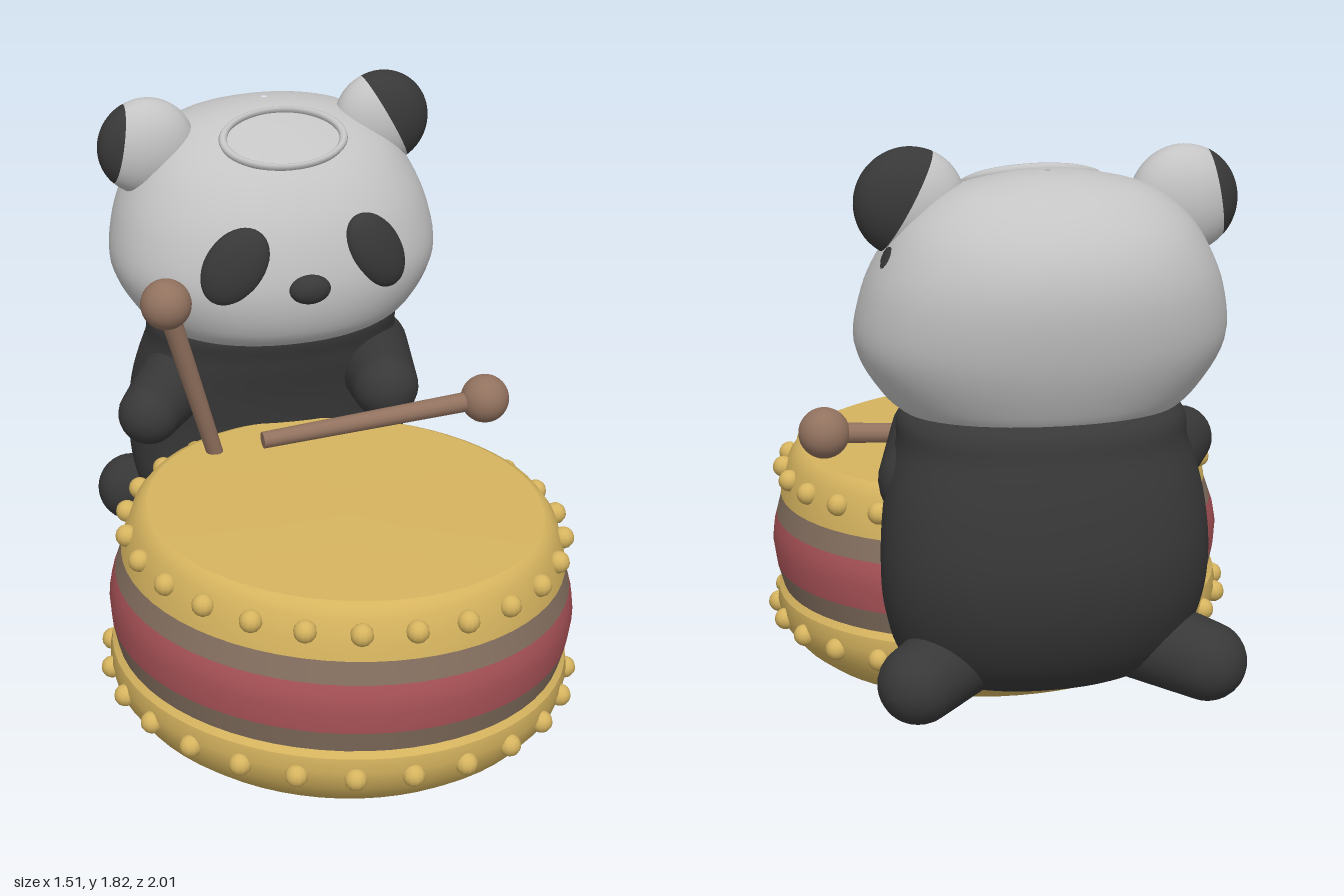
import * as THREE from 'three';

const mat = (name, color, side = THREE.FrontSide) => {
  const m = new THREE.MeshStandardMaterial({ color, side });
  m.name = name;
  return m;
};
const gold = mat('gold', 0xd6b45f);
const red = mat('red', 0xaa5358);
const brown = mat('band brown', 0x857060);
const wood = mat('stick wood', 0x92725f);
const black = mat('black fur', 0x383838);
const white = mat('white fur', 0xc4c4c4);

function add(parent, name, geometry, material, pos = [0, 0, 0], rot = [0, 0, 0], scale = [1, 1, 1]) {
  const m = new THREE.Mesh(geometry, material);
  m.name = name;
  m.position.set(...pos);
  m.rotation.set(...rot);
  m.scale.set(...scale);
  parent.add(m);
  return m;
}

// Smooth closed form from rings of [y, zFront, zBack, halfWidth]
function loft(rings, cx, steps = 48, sides = 56) {
  const curve = new THREE.CatmullRomCurve3(
    rings.map(([y, f, b]) => new THREE.Vector3(y, (f + b) / 2, (f - b) / 2)), false, 'catmullrom', 0.5);
  const widths = new THREE.CatmullRomCurve3(
    rings.map(r => new THREE.Vector3(r[0], r[3], 0)), false, 'catmullrom', 0.5);
  const pos = [], index = [];
  const bulge = v => Math.sign(v) * Math.abs(v) ** 0.94;
  for (let i = 0; i <= steps; i++) {
    const p = curve.getPoint(i / steps);
    const w = Math.max(widths.getPoint(i / steps).y, 0.001);
    for (let j = 0; j < sides; j++) {
      const a = j / sides * Math.PI * 2;
      pos.push(cx + w * bulge(Math.cos(a)), p.x, p.y + Math.max(p.z, 0.001) * bulge(Math.sin(a)));
      if (i === steps) continue;
      const k = i * sides + j, n = i * sides + (j + 1) % sides;
      index.push(k, k + sides, n, n, k + sides, n + sides);
    }
  }
  const g = new THREE.BufferGeometry();
  g.setAttribute('position', new THREE.Float32BufferAttribute(pos, 3));
  g.setIndex(index);
  g.computeVertexNormals();
  return g;
}

// Tapered limb with round ends, from a to b
function limb(parent, name, a, b, ra, rb, material) {
  const A = new THREE.Vector3(...a), B = new THREE.Vector3(...b);
  const len = A.distanceTo(B), pts = [];
  for (let i = 0; i <= 8; i++) {
    const t = -Math.PI / 2 + i / 8 * Math.PI / 2;
    pts.push(new THREE.Vector2(Math.max(ra * Math.cos(t), 0), ra * Math.sin(t)));
  }
  for (let i = 0; i <= 8; i++) {
    const t = i / 8 * Math.PI / 2;
    pts.push(new THREE.Vector2(Math.max(rb * Math.cos(t), 0), len + rb * Math.sin(t)));
  }
  const m = add(parent, name, new THREE.LatheGeometry(pts, 28), material, a);
  m.quaternion.setFromUnitVectors(new THREE.Vector3(0, 1, 0), B.sub(A).normalize());
}

function buildDrum() {
  const drum = new THREE.Group();
  drum.name = 'drum';
  drum.position.set(-0.005, 0.028, 0.25);
  drum.rotation.set(0.018, 0, -0.035);
  // Each band is a separate turned surface: [radius, height] points
  const bands = [
    ['drumBottom', gold, [[0, 0], [0.62, 0]]],
    ['lowerRim', gold, [[0.62, 0], [0.67, 0.04], [0.715, 0.1], [0.728, 0.16], [0.722, 0.205]]],
    ['lowerRimLedge', gold, [[0.722, 0.205], [0.706, 0.225]]],
    ['lowerBand', brown, [[0.706, 0.222], [0.724, 0.295]]],
    ['redBand', red, [[0.724, 0.295], [0.732, 0.37], [0.725, 0.42], [0.715, 0.453]]],
    ['upperBand', brown, [[0.715, 0.453], [0.694, 0.525]]],
    ['upperRim', gold, [[0.698, 0.523], [0.686, 0.58], [0.664, 0.64], [0.64, 0.672], [0.62, 0.68]]],
    ['drumSkin', gold, [[0.62, 0.68], [0.3, 0.688], [0, 0.69]]],
  ];
  for (const [name, material, pts] of bands)
    add(drum, name, new THREE.LatheGeometry(pts.map(p => new THREE.Vector2(...p)), 64), material);
  // Studs around both rims
  const stud = new THREE.SphereGeometry(0.035, 12, 8);
  for (const [name, r, y] of [['lowerStud', 0.726, 0.14], ['upperStud', 0.684, 0.605]])
    for (let i = 0; i < 26; i++) {
      const a = i / 26 * Math.PI * 2;
      add(drum, name, stud, gold, [r * Math.sin(a), y, r * Math.cos(a)]);
    }
  return drum;
}

function buildEar(name, pos, tilt, capAngle) {
  // Flattened ball split into an inner white and an outer black part
  const ear = new THREE.Group();
  ear.name = name;
  ear.position.set(...pos);
  ear.scale.z = 0.62;
  const part = (start, length) => new THREE.SphereGeometry(0.16, 36, 20, 0, Math.PI * 2, start, length);
  add(ear, 'earTip', part(0, capAngle), black, [0, 0, 0], [0, 0, tilt]);
  add(ear, 'earBase', part(capAngle, Math.PI - capAngle), white, [0, 0, 0], [0, 0, tilt]);
  return ear;
}

function buildPanda() {
  const panda = new THREE.Group();
  panda.name = 'panda';
  const ball = new THREE.SphereGeometry(1, 32, 20);

  add(panda, 'body', loft([
    [0.2, -0.6, -0.62, 0.01], [0.215, -0.46, -0.76, 0.26], [0.3, -0.36, -0.88, 0.41],
    [0.45, -0.34, -0.965, 0.47], [0.62, -0.35, -1.0, 0.485], [0.8, -0.33, -0.985, 0.47],
    [0.95, -0.3, -0.95, 0.43], [1.06, -0.3, -0.905, 0.39], [1.12, -0.5, -0.7, 0.1],
  ], 0.04), black);

  add(panda, 'head', loft([
    [0.98, -0.56, -0.58, 0.01], [0.99, -0.4, -0.76, 0.22], [1.04, -0.25, -0.87, 0.39],
    [1.12, -0.19, -0.925, 0.48], [1.25, -0.17, -0.975, 0.543], [1.4, -0.2, -1.0, 0.525],
    [1.52, -0.26, -0.985, 0.475], [1.62, -0.35, -0.93, 0.405], [1.7, -0.48, -0.84, 0.29],
    [1.74, -0.58, -0.74, 0.13], [1.75, -0.65, -0.67, 0.01],
  ], 0.035), white);

  // Raised oval on the crown
  add(panda, 'crownOval', new THREE.TorusGeometry(0.2, 0.014, 8, 48), white,
    [0.035, 1.675, -0.44], [-1.05, 0, 0], [1, 0.62, 1]);

  // Ears, and the dark spot beneath the left one
  panda.add(buildEar('leftEar', [0.42, 1.66, -0.6], -1.07, 1.5));
  panda.add(buildEar('rightEar', [-0.38, 1.64, -0.6], 1.4, 0.95));
  add(panda, 'earSpot', ball, black, [0.485, 1.5, -0.66], [0, 0, 0.4], [0.03, 0.08, 0.07]);

  // Face
  add(panda, 'rightEyePatch', ball, black, [-0.19, 1.335, -0.235], [-0.15, -0.3, -0.65], [0.098, 0.138, 0.05]);
  add(panda, 'leftEyePatch', ball, black, [0.28, 1.34, -0.235], [-0.15, 0.3, 0.6], [0.092, 0.142, 0.05]);
  add(panda, 'nose', ball, black, [0.035, 1.262, -0.155], [0, 0, 0], [0.068, 0.048, 0.038]);

  // Arms and feet
  limb(panda, 'rightArm', [-0.28, 0.83, -0.6], [-0.465, 0.83, -0.31], 0.13, 0.1, black);
  limb(panda, 'leftArm', [0.38, 0.84, -0.6], [0.31, 0.87, -0.21], 0.14, 0.11, black);
  for (const s of [-1, 1])
    limb(panda, s > 0 ? 'leftFoot' : 'rightFoot',
      [0.02 + s * 0.27, 0.34, -0.7], [0.02 + s * 0.43, 0.305, -0.845], 0.13, 0.118, black);
  return panda;
}

function buildStick(name, tip, end) {
  const stick = new THREE.Group();
  stick.name = name;
  const T = new THREE.Vector3(...tip), E = new THREE.Vector3(...end);
  add(stick, 'stickBall', new THREE.SphereGeometry(0.08, 28, 18), wood, tip);
  const mid = T.clone().add(E).multiplyScalar(0.5);
  const shaft = add(stick, 'stickShaft',
    new THREE.CylinderGeometry(0.033, 0.027, T.distanceTo(E), 12), wood, mid.toArray());
  shaft.quaternion.setFromUnitVectors(new THREE.Vector3(0, 1, 0), T.sub(E).normalize());
  return stick;
}

export function createModel() {
  const model = new THREE.Group();
  model.name = 'pandaDrummer';
  model.add(
    buildDrum(),
    buildPanda(),
    buildStick('rightStick', [-0.455, 1.3, -0.08], [-0.28, 0.72, -0.18]),
    buildStick('leftStick', [0.61, 0.84, -0.075], [-0.15, 0.795, -0.075]),
  );
  return model;
}
